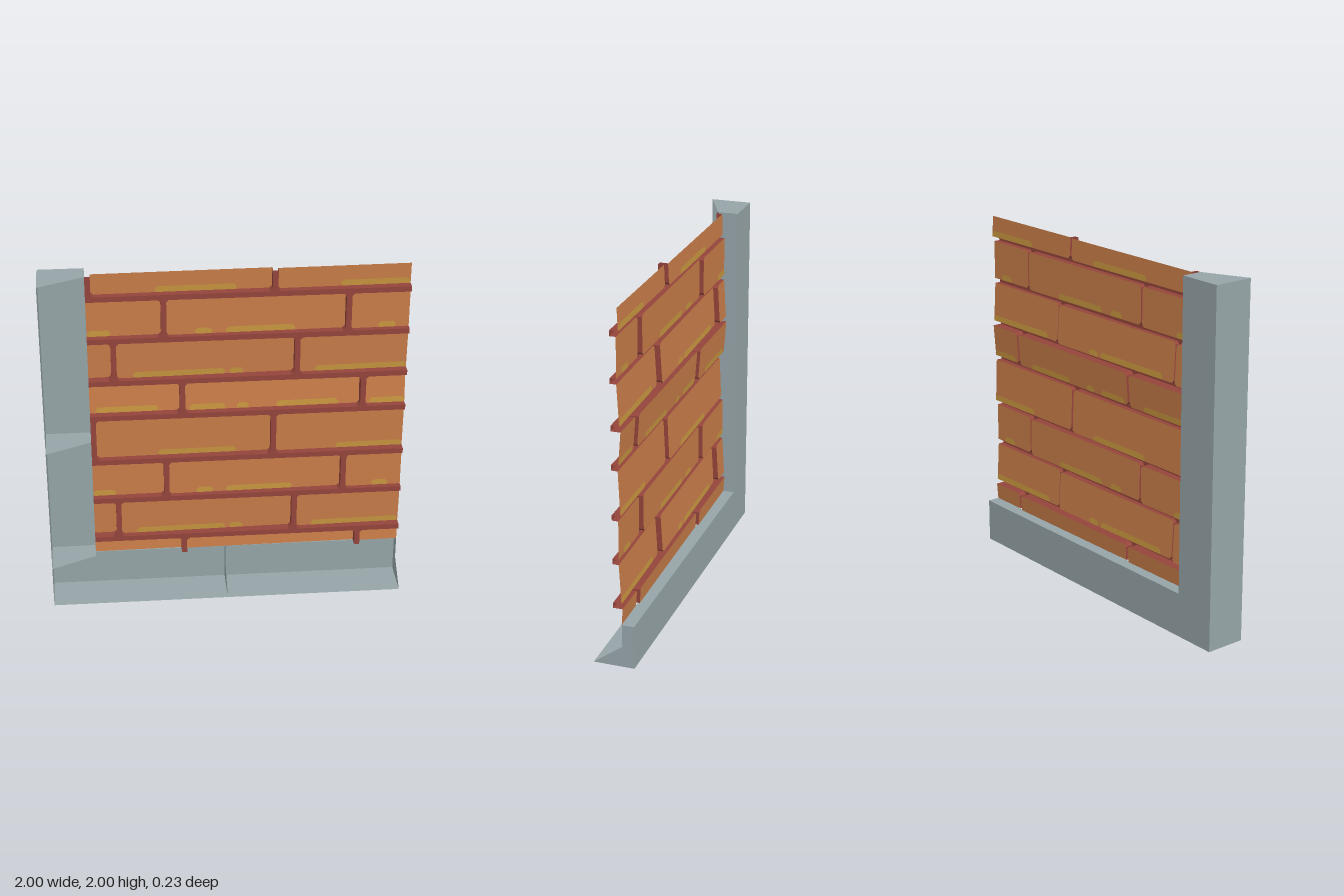
import * as THREE from 'three';

const mat = (name, color) => {
  const m = new THREE.MeshStandardMaterial({ color, side: THREE.DoubleSide, flatShading: true });
  m.name = name;
  return m;
};

// Wall limits and frame limits
const X0 = -0.75, X1 = 1, Y0 = 0.25, Y1 = 2, D = 0.115;

// One course per entry; the pattern repeats every unit in x and y.
// depth = d[0] + d[1] * u + d[2] * v, patches = [start, end] in x along the lower edge
const COURSES = [
  { y: [0.16, 0.345], joint: -0.24, d: [0.037, 0.01, 0.014], patches: [[-0.72, -0.37], [-0.2, 0], [0.06, 0.13]] },
  { y: [0.375, 0.6], joint: -0.61, d: [0.035, 0.02, -0.013], patches: [[-0.51, 0], [0.02, 0.1]] },
  { y: [0.63, 0.85], joint: -0.335, d: [0.03, 0.015, 0], patches: [[-0.17, -0.07], [0, 0.38]] },
  { y: [0.88, 1.13], joint: -0.735, d: [0.038, 0.012, -0.011], patches: [[-0.38, 0.06]] },
];
const GAP = 0.015, CUT = 0.014;

const clampX = (x) => Math.min(X1, Math.max(X0, x));
const clampY = (y) => Math.min(Y1, Math.max(Y0, y));

function meshFrom(name, triangles, material) {
  const g = new THREE.BufferGeometry();
  g.setAttribute('position', new THREE.Float32BufferAttribute(triangles.flat(), 3));
  g.computeVertexNormals();
  const m = new THREE.Mesh(g, material);
  m.name = name;
  return m;
}

const quad = (a, b, c, d) => [a, b, c, a, c, d];

// Fan of a convex or nearly convex outline
function fan(points) {
  const out = [];
  for (let i = 1; i < points.length - 1; i++) out.push(points[0], points[i], points[i + 1]);
  return out;
}

export function createModel() {
  const group = new THREE.Group();
  const brick = mat('brick orange', 0xc97d49);
  const mortar = mat('mortar red', 0x95453b);
  const worn = mat('worn ochre', 0xc8963f);
  const stone = mat('frame grey', 0x96a5a8);

  const faces = [], joints = [], patches = [];

  // Flat joint strip on the mortar plane
  const strip = (xa, xb, ya, yb) => {
    const [a, b, c, d] = [clampX(xa), clampX(xb), clampY(ya), clampY(yb)];
    if (b - a > 1e-4 && d - c > 1e-4) joints.push(...quad([a, c, 0], [b, c, 0], [b, d, 0], [a, d, 0]));
  };

  // Brick: tilted face, side walls back to the mortar plane, cut corners
  function addBrick(bx0, bx1, by0, by1, d) {
    const xa = clampX(bx0), xb = clampX(bx1), ya = clampY(by0), yb = clampY(by1);
    if (xb - xa < 0.01 || yb - ya < 0.01) return;
    const z = (x, y) => -(d[0] + d[1] * (x - bx0) / (bx1 - bx0) + d[2] * (y - by0) / (by1 - by0));
    const onBorder = (x, y) => (x === xa && xa !== bx0) || (x === xb && xb !== bx1)
      || (y === ya && ya !== by0) || (y === yb && yb !== by1);
    const corners = [[xa, ya], [xb, ya], [xb, yb], [xa, yb]];
    const outline = [];
    corners.forEach(([x, y], i) => {
      if (onBorder(x, y)) return outline.push([x, y]);
      const sx = x === xa ? CUT : -CUT, sy = y === ya ? CUT : -CUT;
      const p = [x + sx, y], q = [x, y + sy];
      outline.push(...(i % 2 ? [p, q] : [q, p]));
      joints.push([x, y, 0], [...p, 0], [...q, 0]);
    });
    faces.push(...fan(outline.map(([x, y]) => [x, y, z(x, y)])));
    outline.forEach(([x, y], i) => {
      const [u, v] = outline[(i + 1) % outline.length];
      if (onBorder((x + u) / 2, (y + v) / 2)) return;
      joints.push(...quad([x, y, 0], [u, v, 0], [u, v, z(u, v)], [x, y, z(x, y)]));
    });
    return z;
  }

  // Worn strip: a thin skin on both sides of the brick face
  function addPatch(pa, pb, y, z) {
    const a = clampX(pa), b = clampX(pb), h = 0.034, c = 0.016;
    if (b - a < 0.02 || y < Y0) return;
    const outline = [[a + 0.008, y], [b - 0.008, y], [b, y + c], [b - c, y + h], [a + c, y + h], [a, y + c]];
    for (const off of [-0.002, 0.002]) {
      patches.push(...fan(outline.map(([px, py]) => [px, py, z(px, py) + off])));
    }
  }

  for (let ty = 0; ty < 2; ty++) {
    for (const { y, joint, d, patches: list } of COURSES) {
      const ya = y[0] + ty, yb = y[1] + ty;
      strip(X0, X1, yb, yb + 2 * GAP);
      for (let k = -1; k < 2; k++) {
        const j = joint + k;
        strip(j - GAP, j + GAP, ya, yb);
        const bx0 = j + GAP, bx1 = j + 1 - GAP;
        const z = addBrick(bx0, bx1, ya, yb, d);
        if (!z) continue;
        for (const [a, b] of list) {
          for (const s of [-1, 0, 1]) {
            const mid = (a + b) / 2 + s;
            if (mid > bx0 && mid < bx1) addPatch(Math.max(a + s, bx0 + 0.005), Math.min(b + s, bx1 - 0.005), ya + 0.001, z);
          }
        }
      }
    }
  }
  group.add(meshFrom('brickFaces', faces, brick));
  group.add(meshFrom('mortarAndBrickSides', joints, mortar));
  group.add(meshFrom('wornPatches', patches, worn));

  // Post: back, outer and inner panels, open at the front
  const post = [
    ...quad([-1, 0, -D], [-1, 2, -D], [X0, 2, -D], [X0, 0, -D]),
    ...quad([-1, 0, -D], [-1, 0, D], [-1, 2, D], [-1, 2, -D]),
    ...quad([X0, Y0, -D], [X0, 2, -D], [X0, 2, 0], [X0, Y0, 0]),
  ];
  group.add(meshFrom('framePost', post, stone));

  // Sill: back, bottom and top panels
  const sill = [
    ...quad([X0, 0, -D], [X0, Y0, -D], [1, Y0, -D], [1, 0, -D]),
    ...quad([-1, 0, -D], [1, 0, -D], [1, 0, D], [-1, 0, D]),
    ...quad([X0, Y0, -D], [X0, Y0, -0.045], [1, Y0, -0.045], [1, Y0, -D]),
  ];
  group.add(meshFrom('frameSill', sill, stone));

  // Cap and ribs across the post
  for (const y of [Y0, 1, 2]) {
    const rib = fan([[-1, y, D], [X0, y, 0], [X0, y, -D], [-1, y, -D]]);
    group.add(meshFrom(y === 2 ? 'postCap' : 'postRib', rib, stone));
  }

  // End plate and rib across the sill
  for (const x of [0, 1]) {
    const z = -0.04 - 0.008 * x;
    const rib = fan([[x, 0, -D], [x, 0, D], [x, 0.12, z], [x, Y0, z], [x, Y0, -D]]);
    group.add(meshFrom(x ? 'sillEnd' : 'sillRib', rib, stone));
  }
  return group;
}
